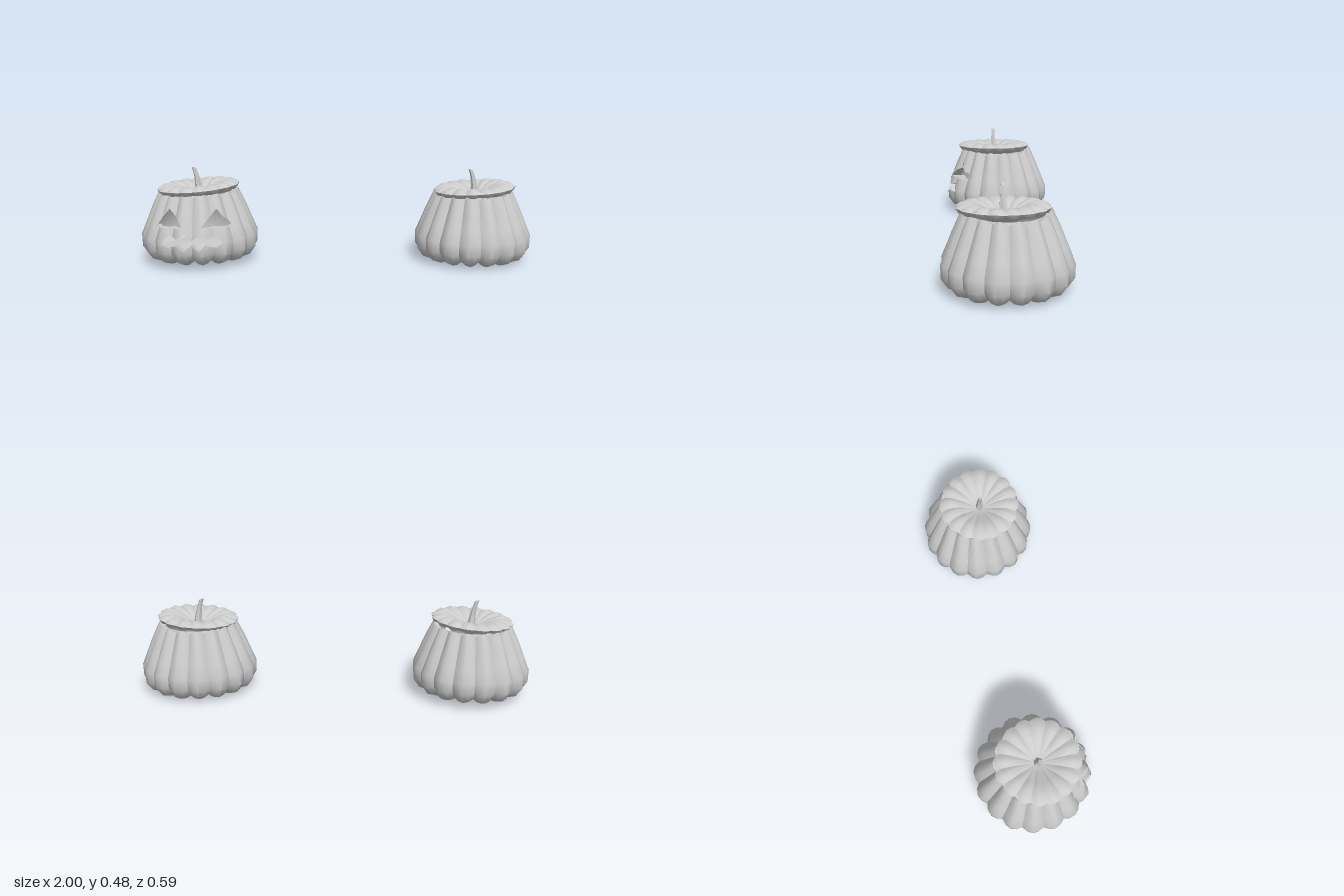
import * as THREE from 'three';
import { mergeVertices, toCreasedNormals } from 'three/addons/utils/BufferGeometryUtils.js';

const RIBS = 16;
const RIB_STEPS = 4;
const material = new THREE.MeshStandardMaterial({ color: 0xcccccc, roughness: 0.8, side: THREE.DoubleSide });

// [radius, height] profiles, running from the top centre outwards and down to the bottom centre
const BODY = [[0.165, 0.345], [0.198, 0.357], [0.226, 0.3], [0.248, 0.25], [0.268, 0.2], [0.297, 0.13],
  [0.295, 0.065], [0.264, 0.02], [0.21, 0.0], [0.12, 0.022], [0.05, 0.042], [0.005, 0.055]];
const CAVITY = [[0.165, 0.345], [0.205, 0.25], [0.228, 0.2], [0.255, 0.13], [0.253, 0.08], [0.22, 0.055],
  [0.12, 0.07], [0.005, 0.09]];
const LID = [[0.005, -0.05], [0.05, -0.034], [0.1, -0.004], [0.15, 0.012], [0.188, 0.005], [0.21, -0.01],
  [0.196, -0.032], [0.12, -0.05], [0.005, -0.09]];

// Sweeps a profile round the y axis, sinking it along its own normal at every groove
function ribbed(profile, depth) {
  const columns = RIBS * RIB_STEPS;
  const position = [], index = [];
  profile.forEach(([r, y], i) => {
    const p = profile[Math.max(i - 1, 0)], q = profile[Math.min(i + 1, profile.length - 1)];
    const normal = new THREE.Vector2(p[1] - q[1], q[0] - p[0]).normalize();
    for (let j = 0; j < columns; j++) {
      const t = Math.abs((j % RIB_STEPS) / RIB_STEPS - 0.5) * 2; // 1 in the groove, 0 on the crest
      const sink = depth * Math.pow(t, 1.8) * Math.min(1, r / 0.2);
      const a = (j / columns) * Math.PI * 2;
      const radius = r - normal.x * sink;
      position.push(radius * Math.sin(a), y - normal.y * sink, radius * Math.cos(a));
      if (i < profile.length - 1) {
        const k = i * columns + j, next = i * columns + (j + 1) % columns;
        index.push(k, k + columns, next + columns, k, next + columns, next);
      }
    }
  });
  const geometry = new THREE.BufferGeometry();
  geometry.setAttribute('position', new THREE.Float32BufferAttribute(position, 3));
  geometry.setIndex(index);
  return toCreasedNormals(geometry, 0.8);
}

// Face openings as convex clockwise polygons in x, y
function faceHoles() {
  const holes = [];
  for (const s of [-1, 1]) {
    const eye = [[s * 0.038, 0.195], [s * 0.115, 0.287], [s * 0.19, 0.195]];
    holes.push(s > 0 ? eye : eye.reverse());
  }
  // Half of the mouth: [x, upper edge, lower edge], mirrored about the middle
  const half = [[0, 0.138, 0.118], [0.036, 0.174, 0.085], [0.072, 0.148, 0.118], [0.118, 0.16, 0.1], [0.155, 0.126, 0.122]];
  const full = [...half.slice(1).reverse().map(([x, u, l]) => [-x, u, l]), ...half];
  for (let i = 0; i < full.length - 1; i++) {
    const [x0, u0, l0] = full[i], [x1, u1, l1] = full[i + 1];
    const column = [[x0, u0], [x1, u1], [x1, l1], [x0, l0]];
    column.open = true; // its vertical sides join the next column
    holes.push(column);
  }
  return holes;
}

const side = (a, b, p) => ((b[0] - a[0]) * (p.y - a[1]) - (b[1] - a[1]) * (p.x - a[0])) / Math.hypot(b[0] - a[0], b[1] - a[1]);

// Splits a polygon by the line a-b into its left (outside) and right (inside) parts
function split(poly, a, b) {
  const outside = [], inside = [];
  poly.forEach((v, i) => {
    const w = poly[(i + 1) % poly.length];
    const dv = side(a, b, v.p), dw = side(a, b, w.p);
    if (dv >= 0) outside.push(v);
    if (dv <= 0) inside.push(v);
    if (dv * dw < 0) {
      const t = dv / (dv - dw);
      const cut = { p: v.p.clone().lerp(w.p, t), n: v.n.clone().lerp(w.n, t).normalize() };
      outside.push(cut);
      inside.push(cut);
    }
  });
  return { outside, inside };
}

// Cuts the holes out of the front of a shell; returns the shell and the walls of the cuts
function carve(geometry, holes, wallDepth) {
  const pos = geometry.attributes.position, nor = geometry.attributes.normal;
  const position = [], normal = [], walls = [];
  for (let i = 0; i < pos.count; i += 3) {
    const tri = [0, 1, 2].map((k) => ({
      p: new THREE.Vector3().fromBufferAttribute(pos, i + k),
      n: new THREE.Vector3().fromBufferAttribute(nor, i + k),
    }));
    let pieces = [tri];
    if (tri.every((v) => v.p.z > 0.06 && v.p.y > 0.04)) {
      for (const hole of holes) {
        const kept = [];
        for (const piece of pieces) {
          let rest = piece;
          const parts = [];
          hole.forEach((a, k) => {
            const { outside, inside } = split(rest, a, hole[(k + 1) % hole.length]);
            if (outside.length > 2) parts.push(outside);
            rest = inside;
          });
          if (rest.length < 3) { kept.push(piece); continue; }
          kept.push(...parts);
          hole.forEach((a, k) => {
            if (hole.open && k % 2) return;
            const b = hole[(k + 1) % hole.length];
            rest.forEach((v, m) => {
              const w = rest[(m + 1) % rest.length];
              if (Math.abs(side(a, b, v.p)) > 1e-6 || Math.abs(side(a, b, w.p)) > 1e-6) return;
              const z0 = v.p.z - wallDepth, z1 = w.p.z - wallDepth;
              walls.push(...v.p, ...w.p, w.p.x, w.p.y, z1, ...v.p, w.p.x, w.p.y, z1, v.p.x, v.p.y, z0);
            });
          });
        }
        pieces = kept;
      }
    }
    for (const piece of pieces) {
      for (let k = 1; k < piece.length - 1; k++) {
        for (const v of [piece[0], piece[k], piece[k + 1]]) {
          position.push(...v.p);
          normal.push(...v.n);
        }
      }
    }
  }
  const shell = new THREE.BufferGeometry();
  shell.setAttribute('position', new THREE.Float32BufferAttribute(position, 3));
  shell.setAttribute('normal', new THREE.Float32BufferAttribute(normal, 3));
  const wall = new THREE.BufferGeometry();
  wall.setAttribute('position', new THREE.Float32BufferAttribute(walls, 3));
  wall.computeVertexNormals();
  return { shell, wall };
}

// Bent stem, flared at the foot, with ridged sides
function stemGeometry() {
  const rows = 6, sides = 12;
  const curve = new THREE.QuadraticBezierCurve3(
    new THREE.Vector3(0, -0.055, 0), new THREE.Vector3(0.004, 0.03, 0.004), new THREE.Vector3(-0.014, 0.085, 0.002));
  let geometry = new THREE.CylinderGeometry(1, 1, 1, sides, rows);
  geometry.deleteAttribute('uv');
  const p = geometry.attributes.position;
  for (let i = 0; i < p.count; i++) {
    const t = p.getY(i) + 0.5;
    const a = Math.round((Math.atan2(p.getZ(i), p.getX(i)) / Math.PI / 2) * sides);
    const r = (0.011 + 0.013 * Math.pow(1 - t, 2)) * (a % 2 ? 0.8 : 1);
    const c = curve.getPoint(t);
    p.setXYZ(i, c.x + p.getX(i) * r, c.y - p.getX(i) * r * 0.3 * t, c.z + p.getZ(i) * r);
  }
  geometry.deleteAttribute('normal');
  geometry = mergeVertices(geometry);
  return toCreasedNormals(geometry, 0.5);
}

function add(parent, name, geometry) {
  const mesh = new THREE.Mesh(geometry, material);
  mesh.name = name;
  parent.add(mesh);
  return mesh;
}

function pumpkin(name, carved) {
  const group = new THREE.Group();
  group.name = name;
  let body = ribbed(BODY, 0.025);
  let cavity = ribbed(CAVITY, 0);
  if (carved) {
    const holes = faceHoles();
    const cut = carve(body, holes, 0.045);
    body = cut.shell;
    cavity = carve(cavity, holes, 0).shell;
    add(group, 'faceCutWalls', cut.wall);
  }
  add(group, 'body', body);
  add(group, 'cavity', cavity);

  // Lid sits slightly askew, raised on its left
  const lid = new THREE.Group();
  lid.name = 'lid';
  add(lid, 'lidTop', ribbed(LID, 0.014));
  add(lid, 'stem', stemGeometry());
  lid.position.set(0, 0.382, 0.018);
  lid.rotation.z = 0.07;
  group.add(lid);
  return group;
}

export function createModel() {
  const model = new THREE.Group();
  model.name = 'pumpkins';
  const carved = pumpkin('carvedPumpkin', true);
  carved.position.set(-0.707, 0.015, 0.003);
  const plain = pumpkin('plainPumpkin', false);
  plain.position.set(0.707, 0, -0.01);
  model.add(carved, plain);
  return model;
}
